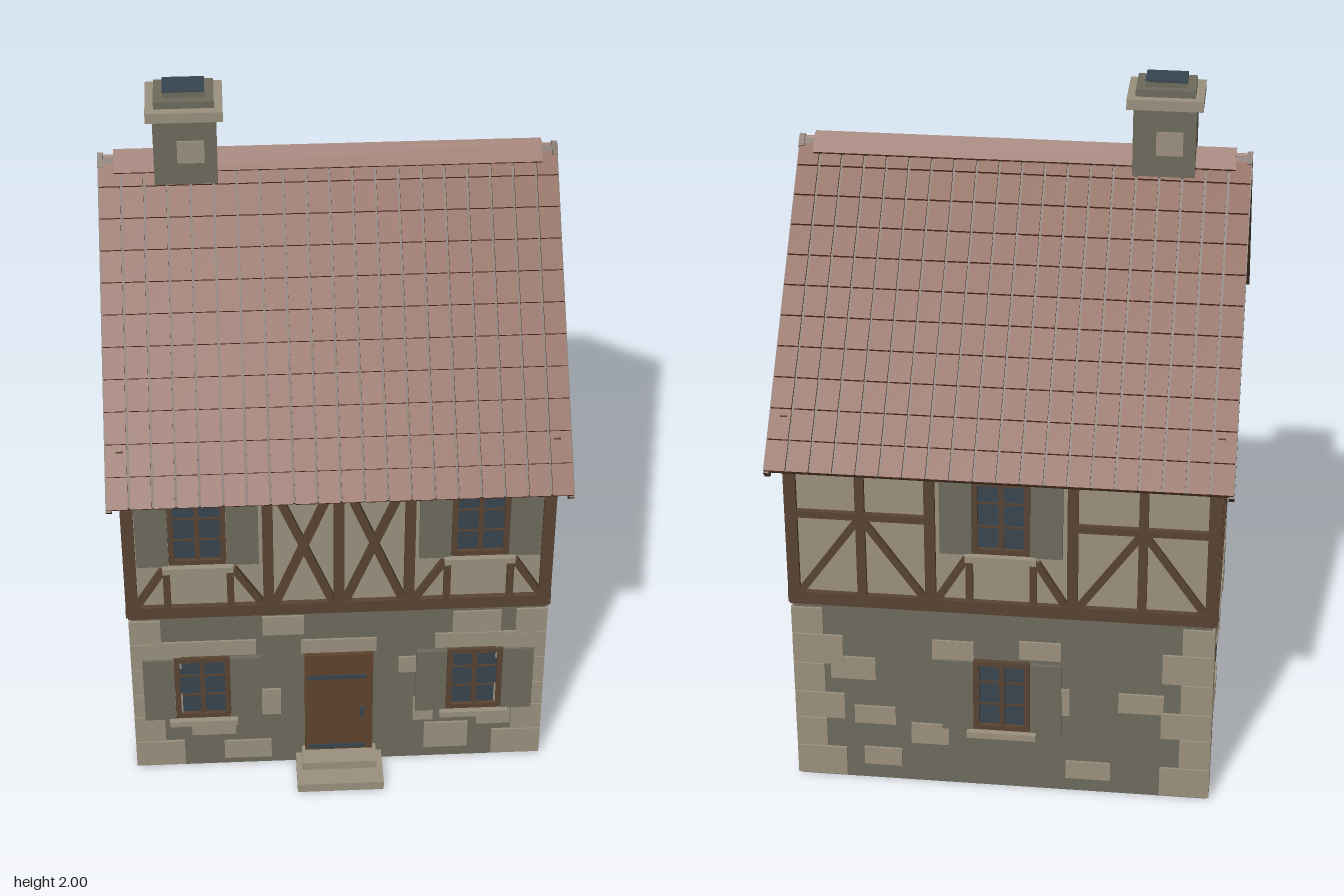
import * as THREE from 'three';
import { mergeGeometries } from 'three/addons/utils/BufferGeometryUtils.js';

const mat = (name, color) => Object.assign(new THREE.MeshStandardMaterial({ color }), { name });
const M = {
  stone: mat('grey stone', 0x6e6b5d),
  pale: mat('pale stone and plaster', 0x9b917e),
  beam: mat('dark timber', 0x594432),
  door: mat('door wood', 0x5f432d),
  tile: mat('roof tile', 0x7c4b37),
  glass: mat('blue grey glass', 0x38454f),
};
const R = 0.6; // half width of the house

// Box given by its centre and size
function box(parent, name, m, [x, y, z], [w, h, d], rotZ = 0) {
  const mesh = new THREE.Mesh(new THREE.BoxGeometry(w, h, d), m);
  mesh.name = name;
  mesh.position.set(x, y, z);
  mesh.rotation.z = rotZ;
  parent.add(mesh);
  return mesh;
}

// Timber lying on a wall between two points
function beam(wall, x0, y0, x1, y1, w = 0.03, z = R - 0.002) {
  const len = Math.hypot(x1 - x0, y1 - y0);
  return box(wall, 'timberBeam', M.beam, [(x0 + x1) / 2, (y0 + y1) / 2, z], [w, len, 0.02],
    Math.atan2(y1 - y0, x1 - x0) - Math.PI / 2);
}

// Casement window with glazing bars, sill and open shutters
function windowUnit(wall, x, y, h) {
  const g = new THREE.Group();
  g.name = 'window';
  g.position.set(x, y, R - 0.01);
  wall.add(g);
  box(g, 'windowGlass', M.glass, [0, h / 2, -0.012], [0.15, h - 0.01, 0.04]);
  for (const s of [-1, 1]) {
    box(g, 'windowJamb', M.beam, [s * 0.073, h / 2, 0.005], [0.016, h, 0.03]);
    box(g, 'shutter', M.stone, [s * 0.127, h / 2 - 0.005, 0.012], [0.09, h, 0.015]);
  }
  for (const t of [0.008, h - 0.008]) box(g, 'windowRail', M.beam, [0, t, 0.005], [0.16, 0.016, 0.03]);
  box(g, 'windowMullion', M.beam, [0, h / 2, 0.004], [0.014, h, 0.022]);
  for (const t of [0.36, 0.68]) box(g, 'glazingBar', M.beam, [0, h * t, 0.006], [0.14, 0.006, 0.01]);
  box(g, 'windowSill', M.pale, [0, -0.012, 0.015], [0.2, 0.02, 0.04]);
}

// Raised pale stones: [x, y, width, height]
function stones(wall, list, z = R - 0.004) {
  for (const [x, y, w, h] of list) box(wall, 'paleStone', M.pale, [x, y, z], [w, h, 0.012]);
}

// Timber bay around an upper window
function windowBay(wall, x, top) {
  beam(wall, x - 0.2, 1.042, x + 0.2, 1.042, 0.02);
  for (const s of [-1, 1]) {
    beam(wall, x + s * 0.09, 0.63, x + s * 0.09, 0.775, 0.02);
    beam(wall, x + s * 0.08, 1.04, x + s * 0.08, top, 0.02);
    beam(wall, x + s * 0.18, 0.64, x + s * 0.1, 0.775, 0.02);
  }
  windowUnit(wall, x, 0.8, 0.235);
}

function crossBay(wall, x0, x1, top) {
  beam(wall, x0, 0.63, x1, top, 0.024, R - 0.005);
  beam(wall, x1, 0.63, x0, top, 0.024, R - 0.003);
}

// Two outer panels with a mid rail and spreading braces
function bracedSides(wall, top) {
  for (const s of [-1, 1]) {
    beam(wall, s * 0.2, 0.895, s * 0.585, 0.895, 0.022);
    beam(wall, s * 0.395, 0.63, s * 0.395, top, 0.026);
    beam(wall, s * 0.39, 0.885, s * 0.22, 0.64, 0.02, R - 0.004);
    beam(wall, s * 0.4, 0.885, s * 0.57, 0.64, 0.02, R - 0.004);
  }
}

// Rails, posts and corner stones shared by all walls
function makeWall(house, name, rotY, top, posts) {
  const wall = new THREE.Group();
  wall.name = name;
  wall.rotation.y = rotY;
  house.add(wall);
  beam(wall, -0.603, 0.62, 0.603, 0.62, 0.04, R - 0.001);
  beam(wall, -0.59, top, 0.59, top, 0.03, R - 0.001);
  for (const x of posts) beam(wall, x, 0.62, x, top, 0.03);
  const heights = [0.1, 0.1, 0.09, 0.1, 0.1, 0.09];
  for (const s of [-1, 1]) {
    let y = 0.005;
    heights.forEach((h, i) => {
      const w = (i + (rotY === 0 || rotY === Math.PI ? 0 : 1)) % 2 ? 0.09 : 0.145;
      box(wall, 'cornerStone', M.pale, [s * (0.603 - w / 2), y + h / 2, R - 0.004], [w, h - 0.004, 0.014]);
      y += h;
    });
  }
  return wall;
}

function makeRoof(house) {
  const cols = 20, rows = 11, half = 0.64, len = 0.985, cw = (2 * half) / cols, rl = len / rows;
  for (const [name, ry] of [['frontRoof', 0], ['backRoof', Math.PI]]) {
    const side = new THREE.Group();
    side.name = name;
    side.rotation.y = ry;
    const slope = new THREE.Group();
    slope.position.y = 1.782;
    slope.rotation.x = Math.PI / 4;
    side.add(slope);
    house.add(side);
    box(slope, 'roofBoards', M.beam, [0, -0.021, len / 2], [2 * half - 0.02, 0.024, len]);
    for (const s of [-1, 1]) box(slope, 'bargeBoard', M.beam, [s * 0.632, -0.02, 0.495], [0.016, 0.034, 1.0]);
    // Overlapping tiles, each lifted at its lower end
    const tiles = [];
    for (let r = 0; r < rows; r++) for (let c = 0; c < cols; c++) {
      const t = new THREE.BoxGeometry(cw - 0.007, 0.01, rl + 0.004);
      t.rotateX(-0.1);
      t.translate(-half + (c + 0.5) * cw, -0.003, (r + 0.5) * rl + 0.003);
      tiles.push(t);
    }
    const mesh = new THREE.Mesh(mergeGeometries(tiles), M.tile);
    mesh.name = 'roofTiles';
    slope.add(mesh);
    box(slope, 'ridgeCap', M.tile, [0, 0.006, 0.028], [1.19, 0.014, 0.06]);
  }
}

function makeChimney(house) {
  const g = new THREE.Group();
  g.name = 'chimney';
  g.position.set(-0.395, 0, 0.003);
  house.add(g);
  box(g, 'chimneyStack', M.stone, [0, 1.83, 0], [0.175, 0.22, 0.135]);
  box(g, 'chimneyCap', M.pale, [0, 1.944, 0], [0.212, 0.03, 0.175]);
  box(g, 'chimneyCollar', M.stone, [0, 1.969, 0], [0.165, 0.022, 0.125]);
  box(g, 'chimneyPot', M.stone, [0, 1.988, 0], [0.115, 0.018, 0.08]);
  box(g, 'chimneyFlue', M.glass, [0, 1.997, 0], [0.115, 0.006, 0.08]);
  for (const s of [-1, 1]) box(g, 'paleStone', M.pale, [0.015 * s, 1.825, s * 0.067], [0.075, 0.07, 0.008]);
}

export function createModel() {
  const root = new THREE.Group();
  root.name = 'timberHouse';
  const house = new THREE.Group();
  house.name = 'house';
  house.position.set(-0.01, 0, -0.01);
  root.add(house);

  // Ground floor: hollow stone walls, open below
  const ring = new THREE.Shape([[-1, -1], [1, -1], [1, 1], [-1, 1]].map(([a, b]) => new THREE.Vector2(a * 0.596, b * 0.596)));
  ring.holes.push(new THREE.Path([[-1, -1], [-1, 1], [1, 1], [1, -1]].map(([a, b]) => new THREE.Vector2(a * 0.575, b * 0.575))));
  const ground = new THREE.Mesh(new THREE.ExtrudeGeometry(ring, { depth: 0.61, bevelEnabled: false }), M.stone);
  ground.name = 'stoneWalls';
  ground.rotation.x = -Math.PI / 2;
  house.add(ground);
  box(house, 'plasterStorey', M.pale, [0, 0.89, 0], [1.186, 0.58, 1.186]);

  // Stone gables
  const tri = new THREE.Shape([[-0.56, 1.17], [0.56, 1.17], [0, 1.74]].map(p => new THREE.Vector2(...p)));
  const gable = new THREE.Mesh(new THREE.ExtrudeGeometry(tri, { depth: 1.186, bevelEnabled: false }), M.stone);
  gable.name = 'gables';
  gable.rotation.y = Math.PI / 2;
  gable.position.x = -0.593;
  house.add(gable);

  const posts = [-0.588, -0.2, 0.2, 0.588];
  const front = makeWall(house, 'frontWall', 0, 1.08, [...posts, 0]);
  const right = makeWall(house, 'leftSideWall', Math.PI / 2, 1.18, posts);
  const back = makeWall(house, 'backWall', Math.PI, 1.08, posts);
  const left = makeWall(house, 'rightSideWall', -Math.PI / 2, 1.18, [...posts, 0]);

  // Front
  for (const s of [-1, 1]) {
    windowBay(front, s * 0.398, 1.09);
    windowUnit(front, s * 0.398, 0.205, 0.235);
    crossBay(front, s * 0.015, s * 0.185, 1.07);
  }
  stones(front, [[-0.39, 0.47, 0.3, 0.055], [0.43, 0.47, 0.3, 0.055], [0, 0.465, 0.22, 0.05], [-0.16, 0.55, 0.12, 0.07],
    [0.4, 0.54, 0.14, 0.08], [0.21, 0.38, 0.07, 0.06], [-0.2, 0.25, 0.06, 0.1], [-0.37, 0.155, 0.13, 0.06],
    [-0.27, 0.06, 0.14, 0.07], [0.32, 0.09, 0.13, 0.1], [0.46, 0.16, 0.1, 0.06], [0.25, 0.2, 0.06, 0.09]]);

  // Door with straps, handle and steps
  box(front, 'door', M.door, [0, 0.25, R - 0.01], [0.2, 0.38, 0.05]);
  for (const y of [0.075, 0.355]) box(front, 'doorStrap', M.glass, [-0.005, y, 0.616], [0.17, 0.014, 0.006]);
  box(front, 'doorHandle', M.glass, [0.068, 0.215, 0.62], [0.012, 0.03, 0.014]);
  box(front, 'lowerStep', M.pale, [0, 0.016, 0.66], [0.255, 0.03, 0.14]);
  box(front, 'upperStep', M.pale, [0, 0.045, 0.63], [0.22, 0.028, 0.08]);

  // Sides that have one central window
  for (const [wall, top] of [[right, 1.17], [back, 1.09]]) {
    bracedSides(wall, top);
    windowBay(wall, 0, top);
    windowUnit(wall, 0, 0.205, 0.235);
    stones(wall, [[-0.43, 0.385, 0.13, 0.075], [-0.14, 0.465, 0.12, 0.065], [0.15, 0.31, 0.09, 0.09], [0.4, 0.32, 0.13, 0.065],
      [-0.21, 0.17, 0.11, 0.07], [0.25, 0.075, 0.13, 0.06], [-0.37, 0.225, 0.12, 0.06], [0.11, 0.48, 0.12, 0.06], [-0.35, 0.08, 0.11, 0.06]]);
  }

  // Windowless side
  bracedSides(left, 1.17);
  for (const s of [-1, 1]) crossBay(left, s * 0.015, s * 0.185, 1.165);
  stones(left, [[-0.35, 0.45, 0.13, 0.07], [0.05, 0.48, 0.14, 0.07], [0.33, 0.36, 0.12, 0.07], [-0.12, 0.3, 0.13, 0.07],
    [-0.33, 0.16, 0.13, 0.07], [0.14, 0.15, 0.13, 0.07], [0.38, 0.12, 0.12, 0.06], [-0.08, 0.06, 0.12, 0.06]]);
  for (const wall of [right, left]) stones(wall, [[0.035, 1.565, 0.165, 0.06], [0.215, 1.425, 0.145, 0.075],
    [-0.04, 1.352, 0.135, 0.065], [0.28, 1.288, 0.13, 0.06], [-0.165, 1.225, 0.155, 0.06]], 0.59);

  // Flower box under the side window
  box(right, 'flowerBox', M.tile, [0, 0.168, 0.628], [0.185, 0.034, 0.05]);
  for (let i = 0; i < 5; i++) box(right, 'flowerPot', M.tile, [-0.075 + i * 0.0375, 0.2, 0.632], [0.022, 0.04, 0.024]);

  makeRoof(house);
  makeChimney(house);
  return root;
}
